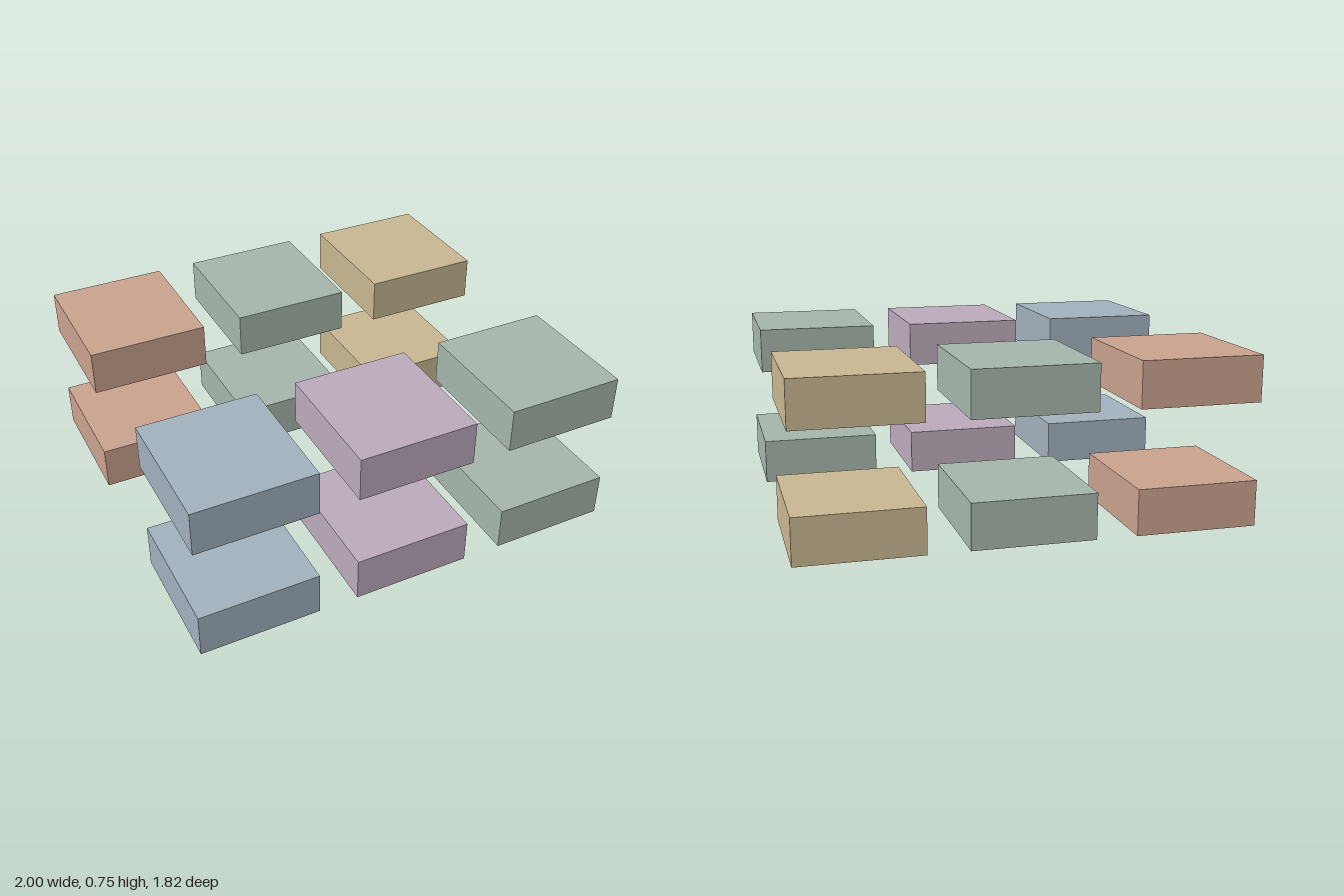
import * as THREE from 'three';

const W = 0.5455, H = 0.205, D = 0.606;   // block size
const STEP_X = 0.7273, STEP_Y = 0.55, STEP_Z = 1.212;   // spacing between blocks

const material = (name, color) => {
  const m = new THREE.MeshStandardMaterial({ color });
  m.name = name;
  return m;
};

export function createModel() {
  const blue = material('dusty blue', 0xa0b0bc);
  const mauve = material('mauve', 0xbbaaba);
  const green = material('sage green', 0xa4b5aa);
  const terracotta = material('terracotta', 0xc9a18d);
  const sand = material('sand', 0xc7b690);

  // Columns from -x to +x, back row then front row
  const rows = [
    { name: 'back', z: -STEP_Z / 2, colors: [terracotta, green, sand] },
    { name: 'front', z: STEP_Z / 2, colors: [blue, mauve, green] },
  ];
  const columns = ['Right', 'Middle', 'Left'];

  const model = new THREE.Group();
  model.name = 'blockGrid';
  const block = new THREE.BoxGeometry(W, H, D);

  // Two identical floating layers of six blocks
  ['lower', 'upper'].forEach((level, k) => {
    const layer = new THREE.Group();
    layer.name = `${level}Layer`;
    layer.position.y = k * STEP_Y + H / 2;
    for (const row of rows) {
      row.colors.forEach((color, i) => {
        const mesh = new THREE.Mesh(block, color);
        mesh.name = `${row.name}${columns[i]}Block`;
        mesh.position.set((i - 1) * STEP_X, 0, row.z);
        layer.add(mesh);
      });
    }
    model.add(layer);
  });
  return model;
}
